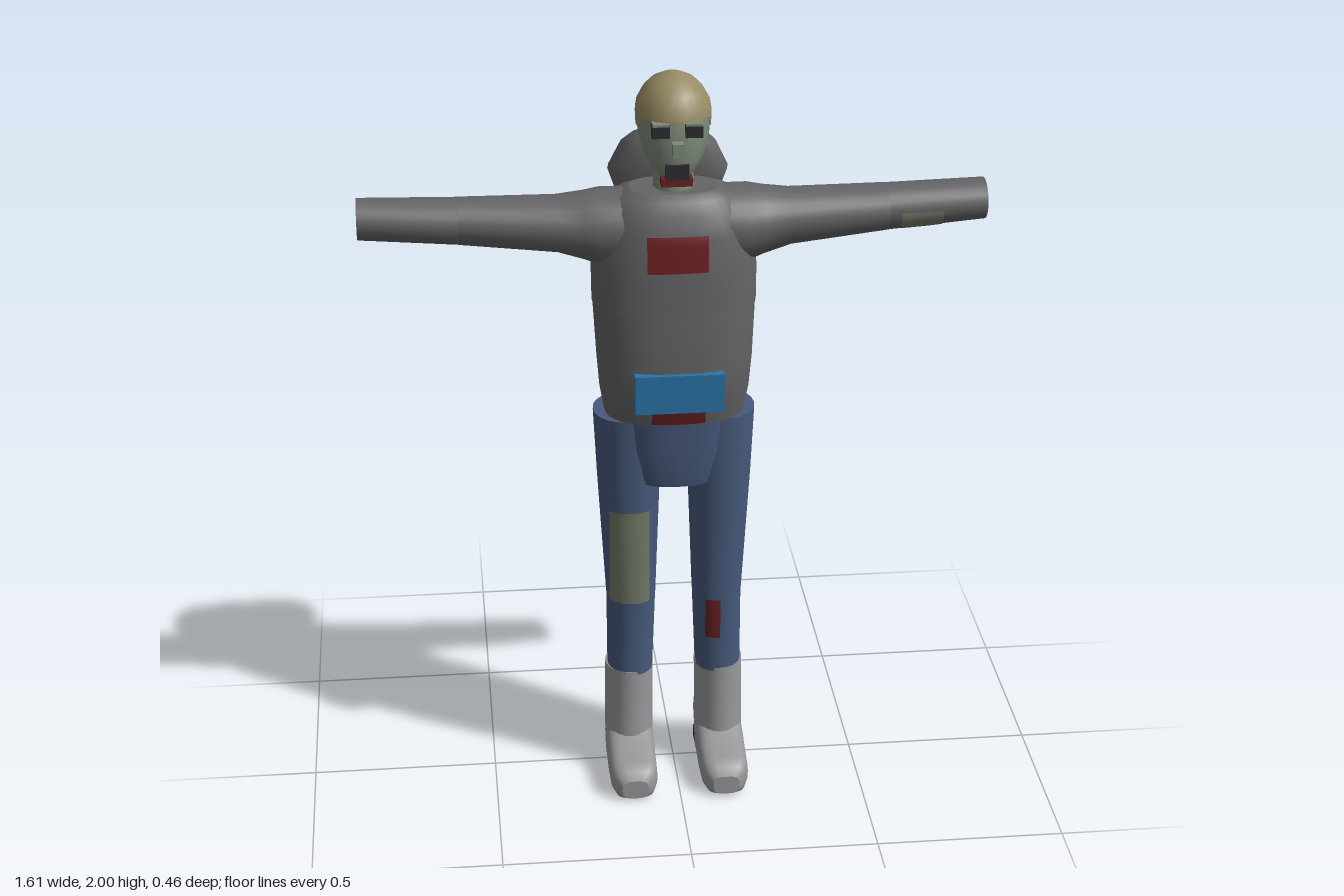
import * as THREE from 'three';

const mat = (name, color, side = THREE.FrontSide) => {
  const m = new THREE.MeshStandardMaterial({ color, side });
  m.name = name;
  return m;
};

// A ring is [y, centre x, half width, front z, back z]; n is the squareness of the section.
function loft(rings, n = 2, seg = 24) {
  const pos = [], idx = [];
  const ringPoints = ([y, cx, rx, zf, zb]) => {
    for (let j = 0; j < seg; j++) {
      const a = (j / seg) * Math.PI * 2, c = Math.cos(a), s = Math.sin(a);
      const px = Math.sign(c) * Math.abs(c) ** (2 / n), pz = Math.sign(s) * Math.abs(s) ** (2 / n);
      pos.push(cx + rx * px, y, (zf + zb) / 2 + ((zf - zb) / 2) * pz);
    }
  };
  rings.forEach(ringPoints);
  for (let i = 0; i < rings.length - 1; i++)
    for (let j = 0; j < seg; j++) {
      const k = (j + 1) % seg, a = i * seg + j, b = i * seg + k;
      idx.push(a, a + seg, b, b, a + seg, b + seg);
    }
  // flat end caps with their own vertices
  for (const top of [false, true]) {
    const r = top ? rings[rings.length - 1] : rings[0], base = pos.length / 3;
    ringPoints(r);
    pos.push(r[1], r[0], (r[3] + r[4]) / 2);
    for (let j = 0; j < seg; j++) {
      const k = base + ((j + 1) % seg);
      if (top) idx.push(base + seg, k, base + j);
      else idx.push(base + seg, base + j, k);
    }
  }
  const g = new THREE.BufferGeometry();
  g.setAttribute('position', new THREE.Float32BufferAttribute(pos, 3));
  g.setIndex(idx);
  g.computeVertexNormals();
  return g;
}

// Thin patch that follows the front (dir 1) or back (dir -1) of a loft.
function patch(rings, n, x0, x1, y0, y1, dir = 1) {
  const g = new THREE.PlaneGeometry(x1 - x0, y1 - y0, 10, 8);
  g.translate((x0 + x1) / 2, (y0 + y1) / 2, 0);
  const sorted = [...rings].sort((a, b) => a[0] - b[0]);
  const p = g.attributes.position;
  for (let i = 0; i < p.count; i++) {
    const y = p.getY(i);
    let k = 0;
    while (k < sorted.length - 2 && sorted[k + 1][0] < y) k++;
    const t = THREE.MathUtils.clamp((y - sorted[k][0]) / (sorted[k + 1][0] - sorted[k][0]), 0, 1);
    const [, cx, rx, zf, zb] = sorted[k].map((v, q) => v + (sorted[k + 1][q] - v) * t);
    const u = Math.min(1, Math.abs((p.getX(i) - cx) / rx));
    p.setZ(i, (zf + zb) / 2 + dir * (((zf - zb) / 2) * (1 - u ** n) ** (1 / n) + 0.005));
  }
  if (dir < 0) g.setIndex([...g.index.array].reverse());
  g.computeVertexNormals();
  return g;
}

export function createModel() {
  const model = new THREE.Group();
  model.name = 'figure';
  const D = THREE.DoubleSide;
  const hoodie = mat('hoodie grey', 0x646466), denim = mat('denim blue', 0x475a7c);
  const boot = mat('boot grey', 0x98989a), dark = mat('dark', 0x2e2e30);
  const skin = mat('skin green', 0x7f8b7b), hair = mat('hair tan', 0x978a64);
  const blue = mat('pouch blue', 0x2a74a6);
  const red = mat('patch red', 0x6c2022, D), green = mat('patch green', 0x737b68, D);

  const add = (name, geo, m) => {
    const mesh = new THREE.Mesh(geo, m);
    mesh.name = name;
    model.add(mesh);
    return mesh;
  };
  const box = (name, m, w, h, d, x, y, z) =>
    add(name, new THREE.BoxGeometry(w, h, d), m).position.set(x, y, z);

  // torso
  const waist = [[1.09, 0, 0.184, 0.143, -0.12], [1.16, 0, 0.196, 0.162, -0.126],
    [1.25, 0, 0.203, 0.175, -0.132], [1.4, 0, 0.211, 0.162, -0.14]];
  const chest = [[1.4, 0, 0.213, 0.162, -0.14], [1.5, 0, 0.214, 0.158, -0.139], [1.6, 0, 0.2, 0.15, -0.135],
    [1.66, 0, 0.175, 0.132, -0.12], [1.69, 0, 0.15, 0.11, -0.09], [1.705, 0, 0.115, 0.085, -0.06]];
  add('waist', loft(waist, 2.5, 32), hoodie);
  add('chest', loft(chest, 2.5, 32), hoodie);
  add('chestPatch', patch(chest, 2.5, -0.08, 0.076, 1.52, 1.615), red);
  add('backPatch', patch(chest, 2.5, -0.08, 0.08, 1.405, 1.535, -1), green);
  add('hemPatch', patch(waist, 2.5, -0.07, 0.07, 1.095, 1.15), red);
  box('pouch', blue, 0.23, 0.105, 0.045, 0, 1.197, 0.165);

  // hood hanging behind the neck
  add('hood', loft([[1.6, 0, 0.1, -0.11, -0.185], [1.65, 0, 0.14, -0.085, -0.21], [1.7, 0, 0.157, -0.065, -0.228],
    [1.77, 0, 0.125, -0.068, -0.197], [1.8, 0, 0.095, -0.075, -0.165], [1.812, 0, 0.07, -0.085, -0.14]], 2.8, 20), hoodie);

  // neck and head
  add('neck', loft([[1.67, 0, 0.055, 0.065, -0.048], [1.79, 0, 0.048, 0.06, -0.045]]), skin);
  add('face', loft([[1.738, 0, 0.03, 0.08, -0.01], [1.76, 0, 0.053, 0.104, -0.05], [1.8, 0, 0.077, 0.113, -0.078],
    [1.85, 0, 0.09, 0.115, -0.1], [1.9, 0, 0.094, 0.113, -0.107], [1.94, 0, 0.085, 0.1, -0.1]], 2.2), skin);
  const cap = loft([[1.87, 0, 0.0955, 0.117, -0.11], [1.905, 0, 0.097, 0.117, -0.112], [1.93, 0, 0.093, 0.112, -0.107],
    [1.96, 0, 0.077, 0.096, -0.09], [1.982, 0, 0.055, 0.07, -0.066], [1.995, 0, 0.028, 0.04, -0.036],
    [2, 0, 0.008, 0.01, -0.01]], 2.1);
  // lift the hairline over the forehead
  const cp = cap.attributes.position;
  for (let i = 0; i < cp.count; i++) if (cp.getZ(i) > 0.045 && cp.getY(i) < 1.9) cp.setY(i, 1.9);
  cap.computeVertexNormals();
  add('hair', cap, hair);
  for (const s of [-1, 1]) {
    box('eyeSocket', dark, 0.045, 0.034, 0.03, s * 0.042, 1.883, 0.105);
    box('eyelid', skin, 0.042, 0.006, 0.036, s * 0.042, 1.901, 0.108);
  }
  box('nose', skin, 0.028, 0.036, 0.034, 0, 1.838, 0.122);
  box('mouth', dark, 0.06, 0.04, 0.03, 0, 1.774, 0.1);
  box('lowerLip', red, 0.08, 0.02, 0.035, 0, 1.745, 0.093);

  for (const s of [-1, 1]) {
    const side = s > 0 ? 'left' : 'right';

    // arms: lofts along y, turned to point sideways
    const arm = ([x, y, r, zf, zb]) => [x, -s * y, r, zf, zb];
    const upper = [[0.1, 1.6, 0.1, 0.12, -0.1], [0.19, 1.6, 0.1, 0.116, -0.1], [0.23, 1.604, 0.088, 0.106, -0.092],
      [0.3, 1.611, 0.073, 0.092, -0.078], [0.55, 1.627, 0.06, 0.08, -0.063]].map(arm);
    const lower = [[0.55, 1.627, 0.0595, 0.08, -0.063], [0.805, 1.641, 0.053, 0.07, -0.052]].map(arm);
    const turn = (g) => g.rotateZ((-s * Math.PI) / 2);
    add(side + 'UpperSleeve', turn(loft(upper)), hoodie);
    add(side + 'LowerSleeve', turn(loft(lower)), hoodie);
    if (s > 0) add('sleevePatch', turn(patch(lower, 2, -1.633, -1.582, 0.58, 0.69)), green);

    // trouser legs
    const leg = ([y, x, ...rest]) => [y, s * x, ...rest];
    const thigh = [[0.54, 0.117, 0.067, 0.09, -0.07], [0.9, 0.121, 0.084, 0.108, -0.08],
      [1.09, 0.115, 0.099, 0.115, -0.085]].map(leg);
    const shin = [[0.31, 0.121, 0.062, 0.081, -0.062], [0.54, 0.117, 0.0665, 0.09, -0.07]].map(leg);
    add(side + 'Thigh', loft(thigh, 2.2), denim);
    add(side + 'Shin', loft(shin, 2.2), denim);
    if (s < 0) add('thighPatch', patch(thigh, 2.2, -0.178, -0.072, 0.54, 0.82), green);
    else add('shinPatch', patch(shin, 2.2, 0.08, 0.12, 0.42, 0.538), red);

    // boots: shaft, foot lofted from heel to toe, dark heel
    add(side + 'BootShaft', loft([[0.1, 0.125, 0.066, 0.085, -0.072], [0.32, 0.123, 0.066, 0.082, -0.07]].map(leg)), boot);
    const foot = loft([[-0.098, 0.125, 0.058, -0.03, -0.16], [-0.03, 0.125, 0.063, -0.03, -0.16],
      [-0.01, 0.125, 0.065, -0.022, -0.152], [0.01, 0.125, 0.066, 0, -0.145], [0.06, 0.125, 0.066, 0, -0.13], [0.11, 0.125, 0.066, 0, -0.105],
      [0.185, 0.125, 0.064, 0, -0.097], [0.215, 0.125, 0.054, 0, -0.085], [0.23, 0.125, 0.036, -0.008, -0.062]].map(leg), 3.2);
    add(side + 'Foot', foot.rotateX(Math.PI / 2), boot);
    box(side + 'Heel', dark, 0.116, 0.034, 0.088, s * 0.125, 0.017, -0.054);
  }

  // pelvis
  add('pelvis', loft([[0.9, 0, 0.115, 0.12, -0.1], [0.93, 0, 0.125, 0.127, -0.106], [1, 0, 0.148, 0.135, -0.112],
    [1.09, 0, 0.16, 0.141, -0.118]], 2.6), denim);
  return model;
}
